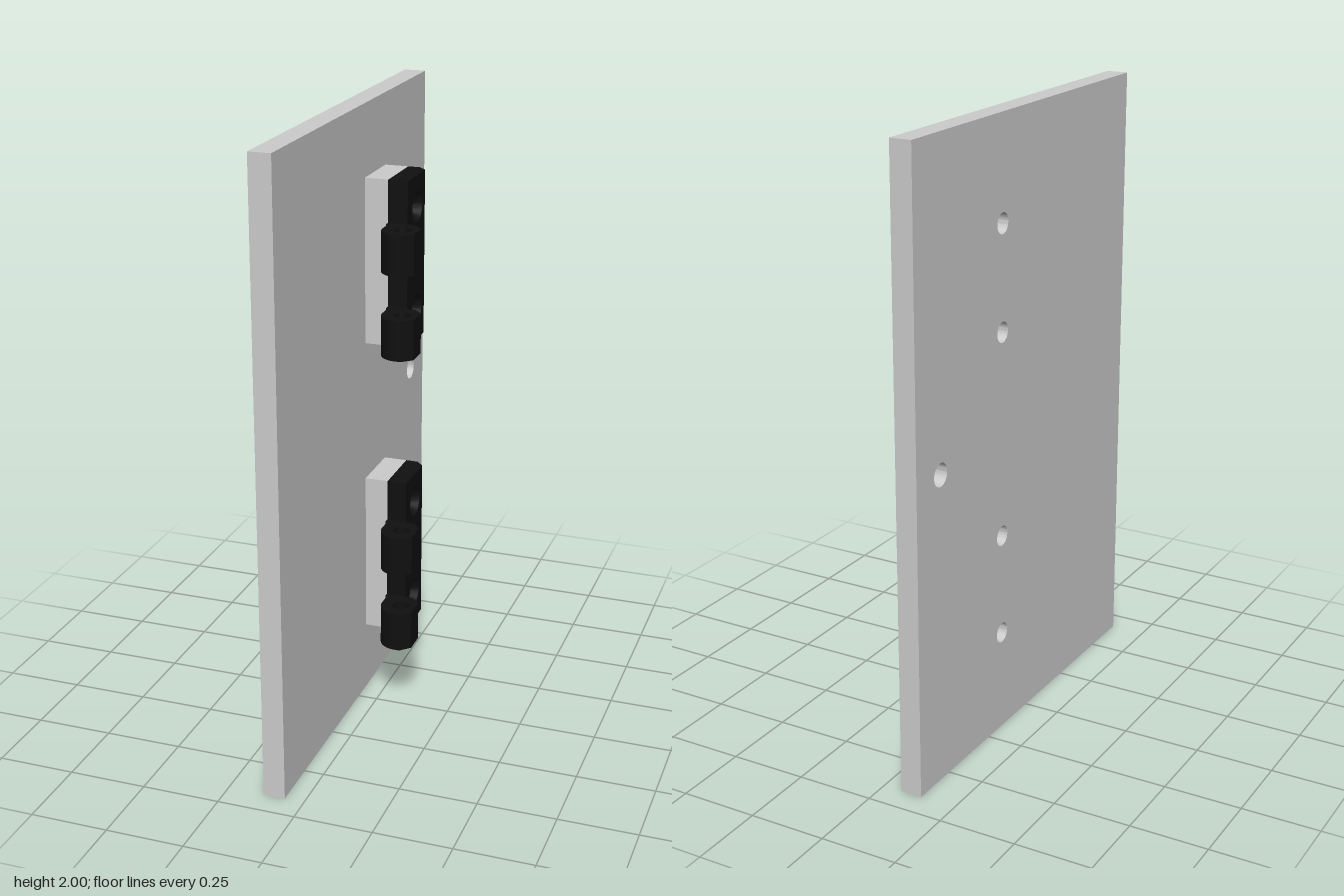
import * as THREE from 'three';
import { toCreasedNormals } from 'three/addons/utils/BufferGeometryUtils.js';

const grey = new THREE.MeshStandardMaterial({ color: 0xcccccc });
const black = new THREE.MeshStandardMaterial({ color: 0x101010 });
const blackThin = new THREE.MeshStandardMaterial({ color: 0x101010, side: THREE.DoubleSide });

const SCREW_Z = -0.165, SCREW_R = 0.033, SINK_R = 0.05;

function addHole(shape, x, y, r) {
  const hole = new THREE.Path();
  hole.absarc(x, y, r, 0, Math.PI * 2, true);
  shape.holes.push(hole);
}

function extrude(shape, depth) {
  return new THREE.ExtrudeGeometry(shape, { depth, bevelEnabled: false, curveSegments: 24 });
}

function mesh(name, geometry, material) {
  const m = new THREE.Mesh(toCreasedNormals(geometry, 0.6), material);
  m.name = name;
  return m;
}

// Slab lying in the zy plane, thick along x; holes are [z, y, radius]
function slab(name, x0, x1, z0, z1, y0, y1, holes, material) {
  const s = new THREE.Shape();
  s.moveTo(-z1, y0).lineTo(-z0, y0).lineTo(-z0, y1).lineTo(-z1, y1).closePath();
  holes.forEach(([z, y, r]) => addHole(s, -z, y, r));
  return mesh(name, extrude(s, x1 - x0).rotateY(Math.PI / 2).translate(x0, 0, 0), material);
}

// Upright prism from a plan outline drawn as (x, -z)
function prism(name, shape, y0, y1, material) {
  return mesh(name, extrude(shape, y1 - y0).rotateX(-Math.PI / 2).translate(0, y0, 0), material);
}

// Knuckle: round towards the panel, chamfered on the outside, with a pin bore
function knuckleShape() {
  const s = new THREE.Shape();
  s.moveTo(0.013, 0.075).lineTo(0.013, 0.052).lineTo(0.019, 0.052).lineTo(0.019, 0);
  s.absarc(0.085, 0, 0.066, Math.PI, Math.PI * 1.5, false);
  s.lineTo(0.102, -0.066).lineTo(0.133, -0.035).lineTo(0.133, 0.038);
  s.lineTo(0.105, 0.066).lineTo(0.077, 0.066).lineTo(0.077, 0.075).closePath();
  addHole(s, 0.085, 0, 0.027);
  return s;
}

function createHinge() {
  // Origin at the bottom of the hinge
  const g = new THREE.Group();
  const height = 0.535;
  const screws = [0.1, 0.435];
  const holes = (r) => screws.map((y) => [SCREW_Z, y, r]);

  g.add(slab('spacer', -0.063, 0.013, -0.265, -0.073, 0, height, holes(SCREW_R), grey));

  // Leaf: lower layer, countersunk upper layer and chamfered rear edge
  g.add(slab('leafBase', 0.013, 0.052, -0.265, -0.07, 0, height, holes(SCREW_R), black));
  g.add(slab('leafFace', 0.052, 0.077, -0.24, -0.07, 0, height, holes(SINK_R), black));
  const edge = new THREE.Shape();
  edge.moveTo(0.052, 0.24).lineTo(0.077, 0.24).lineTo(0.052, 0.265).closePath();
  g.add(prism('leafChamfer', edge, 0, height, black));

  for (const y of screws) {
    const cone = new THREE.CylinderGeometry(SINK_R, SCREW_R, 0.025, 32, 1, true);
    cone.rotateZ(-Math.PI / 2).translate(0.0645, y, SCREW_Z);
    g.add(mesh('countersink', cone, blackThin));
  }

  for (const y of [0, 0.27]) g.add(prism('knuckle', knuckleShape(), y, y + 0.13, black));
  return g;
}

export function createModel() {
  const model = new THREE.Group();
  model.name = 'hingedPanel';

  // Door panel with four screw holes and one handle hole
  const hingeY = [0.235, 1.235];
  const holes = hingeY.flatMap((y) => [0.1, 0.435].map((d) => [SCREW_Z, y + d, SCREW_R]));
  holes.push([-0.533, 1, 0.037]);
  model.add(slab('panel', -0.133, -0.063, -0.667, 0.667, 0, 2, holes, grey));

  for (const [i, y] of hingeY.entries()) {
    const hinge = createHinge();
    hinge.name = i ? 'upperHinge' : 'lowerHinge';
    hinge.position.y = y;
    model.add(hinge);
  }
  return model;
}
